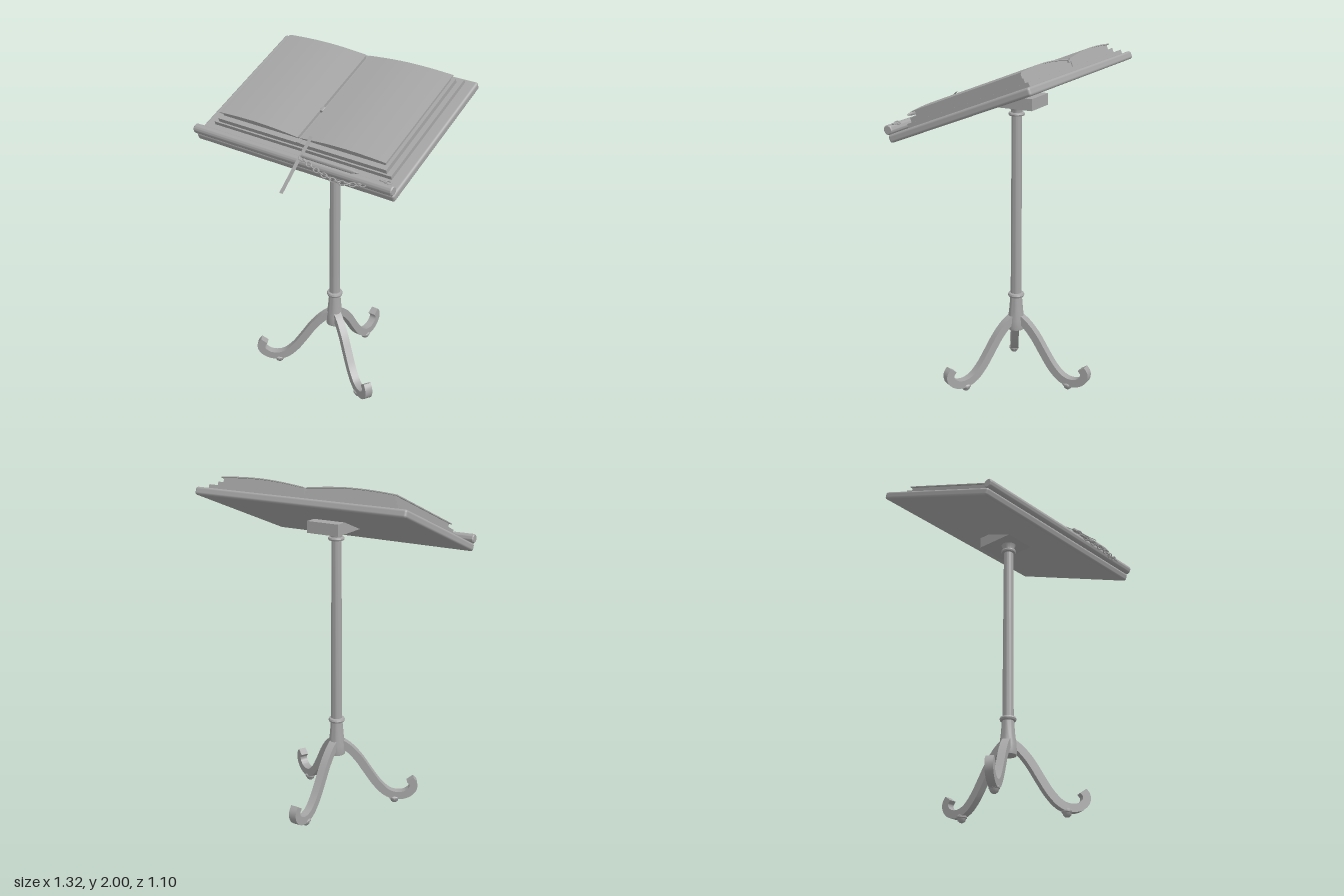
import * as THREE from 'three';
import { toCreasedNormals } from 'three/addons/utils/BufferGeometryUtils.js';
import { RoundedBoxGeometry } from 'three/addons/geometries/RoundedBoxGeometry.js';

const V2 = (p) => new THREE.Vector2(p[0], p[1]);
const V3 = (p) => new THREE.Vector3(...p);
const POST_Z = -0.058;

export function createModel() {
  const root = new THREE.Group();
  const grey = new THREE.MeshStandardMaterial({ color: 0xa6a6a6 });
  grey.name = 'grey';

  const add = (parent, name, geo, x = 0, y = 0, z = 0) => {
    const m = new THREE.Mesh(geo, grey);
    m.name = name;
    m.position.set(x, y, z);
    parent.add(m);
    return m;
  };
  const lathe = (pts, seg = 28) =>
    toCreasedNormals(new THREE.LatheGeometry(pts.map(V2), seg).toNonIndexed(), 0.6);
  // Extrudes an outline along z, centred on z = 0
  const slab = (pts, depth) => {
    const g = new THREE.ExtrudeGeometry(new THREE.Shape(pts), { depth, bevelEnabled: false });
    g.translate(0, 0, -depth / 2);
    return toCreasedNormals(g, 0.6);
  };

  // Column with its hub, rings and flared head
  add(root, 'post', lathe([
    [0, 0.33], [0.05, 0.33], [0.052, 0.345], [0.05, 0.39], [0.042, 0.45], [0.035, 0.535],
    [0.045, 0.538], [0.049, 0.548], [0.045, 0.558], [0.033, 0.562], [0.029, 1.638],
    [0.044, 1.64], [0.047, 1.648], [0.044, 1.656], [0.033, 1.658], [0.034, 1.675],
    [0.045, 1.697], [0, 1.697],
  ]), 0, 0, POST_Z);

  // Three scrolled legs with small ball feet
  const path = new THREE.CatmullRomCurve3([
    [0.02, 0.405], [0.07, 0.37], [0.13, 0.305], [0.19, 0.215], [0.25, 0.13], [0.31, 0.075],
    [0.37, 0.057], [0.425, 0.068], [0.46, 0.1], [0.465, 0.135], [0.445, 0.163],
  ].map(([r, y]) => new THREE.Vector3(r, y, 0)));
  const upper = [], lower = [];
  for (let i = 0; i <= 40; i++) {
    const p = path.getPoint(i / 40), t = path.getTangent(i / 40), h = 0.024;
    upper.push(new THREE.Vector2(p.x - t.y * h, p.y + t.x * h));
    lower.unshift(new THREE.Vector2(p.x + t.y * h, p.y - t.x * h));
  }
  const legGeo = slab([...lower, ...upper], 0.046);
  const footGeo = lathe([[0, 0], [0.012, 0.002], [0.022, 0.011], [0.026, 0.024],
    [0.031, 0.028], [0.031, 0.038], [0.024, 0.044], [0.02, 0.055], [0, 0.055]], 20);
  for (let i = 0; i < 3; i++) {
    const leg = new THREE.Group();
    leg.name = 'leg' + (i + 1);
    leg.position.z = POST_Z;
    leg.rotation.y = Math.PI / 2 + i * Math.PI * 2 / 3; // first leg points back
    add(leg, 'legScroll', legGeo);
    add(leg, 'ballFoot', footGeo, 0.352, 0.005, 0);
    root.add(leg);
  }

  // Wedge bracket below the desk (outline in -z, y)
  const bracket = add(root, 'bracket', slab(
    [[-0.04, 1.695], [0.205, 1.695], [0.205, 1.762], [0.1, 1.762], [-0.04, 1.71]].map(V2), 0.2));
  bracket.rotation.y = Math.PI / 2;

  // Tilted desk
  const desk = new THREE.Group();
  desk.name = 'desk';
  desk.position.set(0, 1.735, -0.0665);
  desk.rotation.x = 0.38;
  root.add(desk);
  add(desk, 'board', new RoundedBoxGeometry(1.316, 0.046, 0.91, 3, 0.014), 0, 0.023, 0);

  // Round ledge bar with softened ends
  const bar = add(desk, 'ledge', lathe([[0, -0.658], [0.022, -0.658], [0.027, -0.652],
    [0.027, 0.652], [0.022, 0.658], [0, 0.658]]), 0, 0.072, 0.44);
  bar.rotation.z = Math.PI / 2;

  // Open book: cover, lower leaves, inset page block and overhanging top leaf
  add(desk, 'bookCover', new THREE.BoxGeometry(1.18, 0.026, 0.78), 0, 0.056, -0.035);
  add(desk, 'bookSpine', new THREE.BoxGeometry(0.024, 0.03, 0.74), 0, 0.083, -0.025);
  const topY = (x) => 0.116 + 0.022 * Math.sin(Math.min(1, (x - 0.01) / 0.3) * Math.PI / 2)
    - 0.012 * Math.max(0, (x - 0.3) / 0.25) ** 2;
  const leafOutline = (end, bottom, lift) => {
    const pts = [], n = 20;
    for (let i = 0; i <= n; i++) {
      const x = 0.01 + (end - 0.01) * i / n;
      pts.push(new THREE.Vector2(x, topY(x) - lift));
    }
    for (let i = n; i >= 0; i--) {
      const x = 0.01 + (end - 0.01) * i / n;
      pts.push(new THREE.Vector2(x, bottom ?? topY(x) - lift - 0.006));
    }
    return pts.reverse();
  };
  const blockGeo = slab(leafOutline(0.54, 0.09, 0.004), 0.685);
  const leafGeo = slab(leafOutline(0.552, null, 0), 0.708);
  for (const s of [1, -1]) {
    const half = new THREE.Group();
    half.name = s > 0 ? 'leftPages' : 'rightPages';
    if (s < 0) half.rotation.y = Math.PI;
    desk.add(half);
    add(half, 'lowerLeaves', new THREE.BoxGeometry(0.55, 0.026, 0.735), 0.285, 0.082, -0.022 * s);
    add(half, 'pageBlock', blockGeo, 0, 0, -0.028 * s);
    add(half, 'topLeaf', leafGeo, 0, 0, -0.028 * s);
  }
  add(desk, 'gutterMarker', new RoundedBoxGeometry(0.022, 0.02, 0.035, 2, 0.005), 0, 0.112, 0.09);

  // Ribbon bookmark hanging over the ledge
  const ribbonPts = [[0.286, 1.755], [0.31, 1.73], [0.41, 1.653], [0.55, 1.535]];
  const ribbon = [];
  for (const [z, y] of ribbonPts) ribbon.push(new THREE.Vector2(-z, y));
  for (const [z, y] of [...ribbonPts].reverse()) ribbon.push(new THREE.Vector2(-z - 0.003, y - 0.004));
  const strip = add(root, 'ribbon', slab(ribbon, 0.022), 0.085, 0, 0);
  strip.rotation.y = Math.PI / 2;

  // Pencil lying on the ledge
  const pencil = add(root, 'pencil', lathe([[0, 0], [0.009, 0], [0.012, 0.006], [0.012, 0.31],
    [0.003, 0.355], [0, 0.36]], 12), 0.095, 1.682, 0.378);
  pencil.rotation.z = -Math.PI / 2;

  // Chain with alternating oval links
  const chain = new THREE.Group();
  chain.name = 'chain';
  root.add(chain);
  const chainPath = new THREE.CatmullRomCurve3([[0.1, 1.672, 0.39], [0.2, 1.645, 0.41],
    [0.33, 1.625, 0.424], [0.42, 1.625, 0.412], [0.49, 1.637, 0.395]].map(V3));
  const linkGeo = new THREE.TorusGeometry(0.012, 0.0035, 6, 14);
  linkGeo.scale(1.5, 1, 1);
  const xAxis = new THREE.Vector3(1, 0, 0);
  for (let i = 0; i < 15; i++) {
    const link = add(chain, 'chainLink', linkGeo);
    link.position.copy(chainPath.getPointAt(i / 14));
    link.quaternion.setFromUnitVectors(xAxis, chainPath.getTangentAt(i / 14));
    link.rotateX(i % 2 ? 0.8 : -0.8);
  }
  // Anchor links at the end of the ledge
  for (let i = 0; i < 2; i++) {
    const link = add(chain, 'anchorLink', linkGeo, 0.585 + i * 0.028, 1.668, 0.352);
    link.rotation.x = 1.2 + i * 0.5;
  }
  return root;
}
